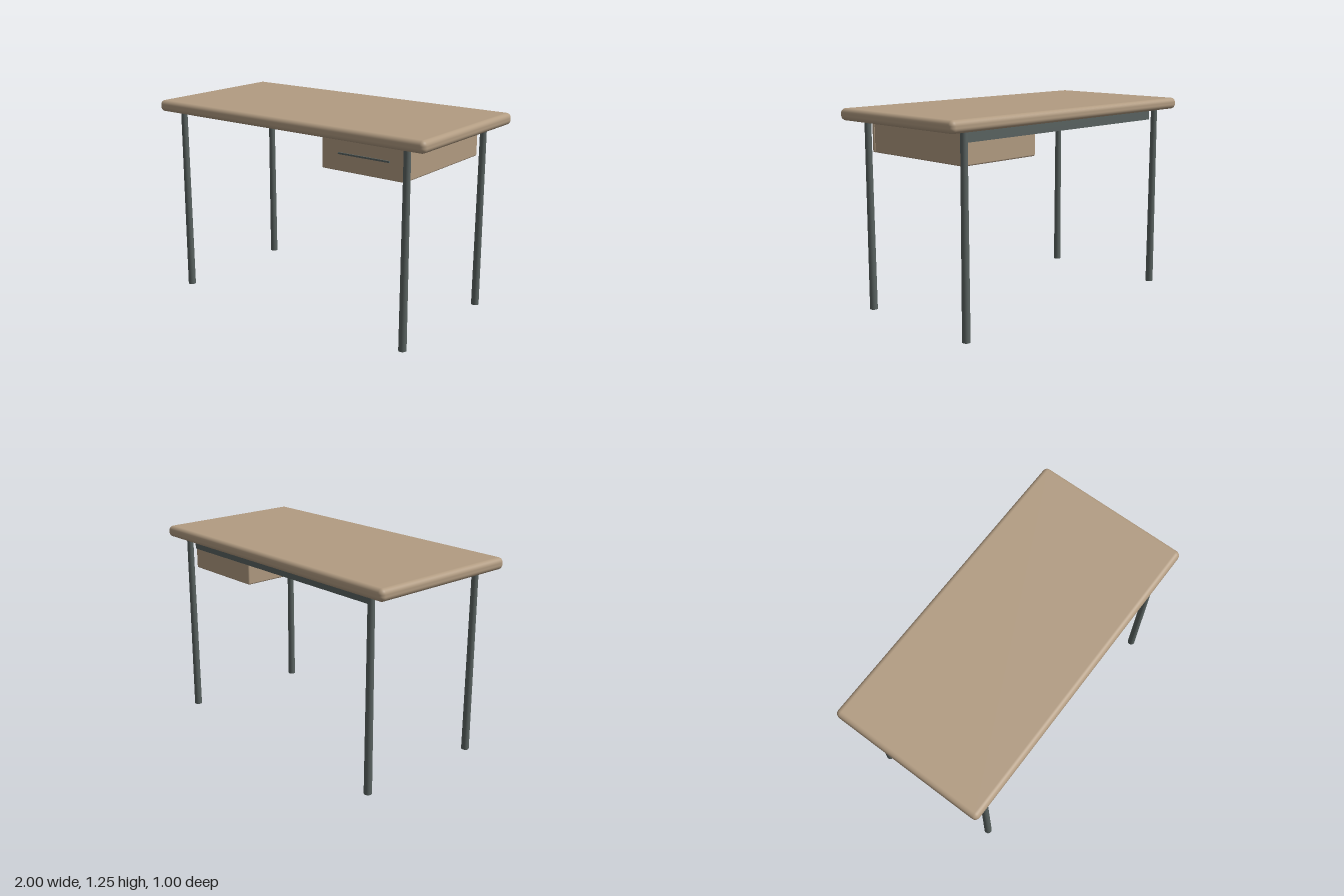
import * as THREE from 'three';
import { RoundedBoxGeometry } from 'three/addons/geometries/RoundedBoxGeometry.js';

const wood = new THREE.MeshStandardMaterial({ name: 'wood', color: 0xb29c82 });
const metal = new THREE.MeshStandardMaterial({ name: 'darkMetal', color: 0x5a6361 });

// Box given by its min and max corners, with optional rounded edges
function box(name, material, [x0, y0, z0], [x1, y1, z1], radius = 0) {
  const size = [x1 - x0, y1 - y0, z1 - z0];
  const geometry = radius
    ? new RoundedBoxGeometry(...size, 5, radius)
    : new THREE.BoxGeometry(...size);
  const mesh = new THREE.Mesh(geometry, material);
  mesh.name = name;
  mesh.position.set((x0 + x1) / 2, (y0 + y1) / 2, (z0 + z1) / 2);
  return mesh;
}

export function createModel() {
  const desk = new THREE.Group();
  desk.name = 'desk';

  // Thick top with soft edges
  desk.add(box('tableTop', wood, [-1, 1.178, -0.5], [1, 1.25, 0.5], 0.03));

  // Four round legs, slightly wider at the floor
  const legHeight = 1.185;
  const legGeometry = new THREE.CylinderGeometry(0.02, 0.024, legHeight, 24);
  for (const [x, xName] of [[-0.85, 'Right'], [0.85, 'Left']]) {
    for (const [z, zName] of [[0.425, 'front'], [-0.425, 'back']]) {
      const leg = new THREE.Mesh(legGeometry, metal);
      leg.name = `${zName}${xName}Leg`;
      leg.position.set(x, legHeight / 2, z);
      desk.add(leg);
    }
  }

  // Rail between the back legs
  desk.add(box('backRail', metal, [-0.83, 1.11, -0.4], [0.826, 1.174, -0.38]));

  // Drawer under the top
  const drawer = new THREE.Group();
  drawer.name = 'drawer';
  drawer.add(
    box('drawerBody', wood, [0.262, 0.98, -0.394], [0.83, 1.177, 0.392], 0.01),
    box('drawerFront', wood, [0.26, 0.98, 0.39], [0.832, 1.176, 0.41], 0.008),
    box('drawerHandle', metal, [0.38, 1.08, 0.405], [0.73, 1.09, 0.418]),
  );
  desk.add(drawer);

  return desk;
}
